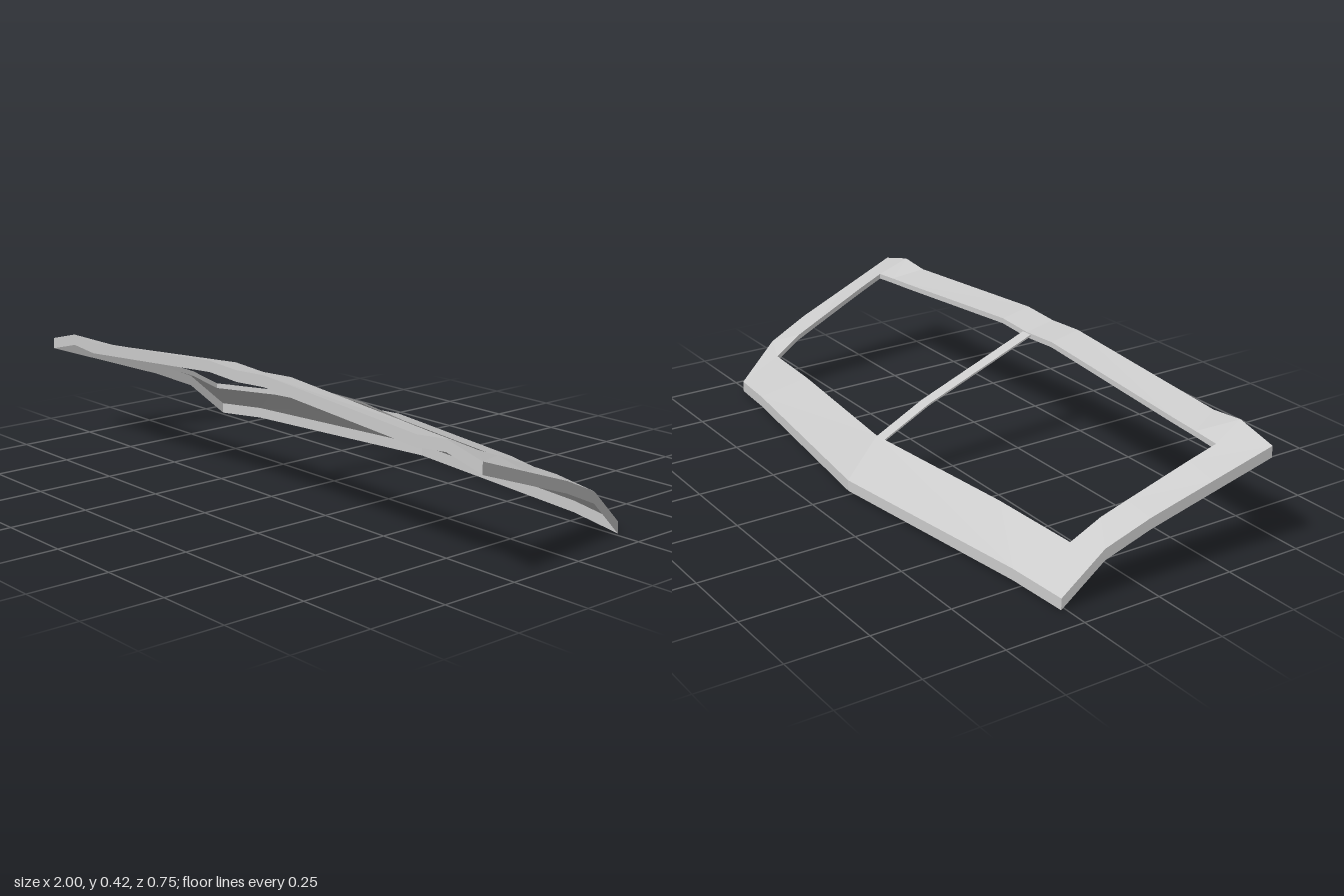
import * as THREE from 'three';

const OUTER_LIP = 0.035;
const INNER_LIP = 0.017;

// Frame stations from front centre round to back centre: outer x,z,y then inner x,z,y (top surface)
const HALF = [
  [0, 0.377, 0.411, 0, 0.277, 0.391],
  [0.13, 0.377, 0.418, 0.13, 0.277, 0.398],
  [0.76, 0.377, 0.372, 0.7, 0.277, 0.352],
  [0.87, 0.377, 0.382, 0.8, 0.277, 0.345],
  [1, 0.377, 0.35, 0.885, 0.277, 0.338],
  [0.975, 0.19, 0.283, 0.874, 0.19, 0.305],
  [0.95, 0, 0.215, 0.85, 0, 0.228],
  [0.932, -0.135, 0.155, 0.84, -0.08, 0.195],
  [0.915, -0.263, 0.037, 0.828, -0.172, 0.14],
  [0.73, -0.288, 0.05, 0.55, -0.209, 0.161],
  [0, -0.377, 0.05, 0, -0.274, 0.172],
];

// Open shell: top surface with a deep lip outside and a shallow lip around the opening
function frameGeometry() {
  const mirrored = HALF.slice(1, -1).reverse()
    .map(([ox, oz, oy, ix, iz, iy]) => [-ox, oz, oy, -ix, iz, iy]);
  const stations = [...HALF, ...mirrored];
  const positions = [];
  for (const [ox, oz, oy, ix, iz, iy] of stations) {
    positions.push(ox, oy - OUTER_LIP, oz, ox, oy, oz, ix, iy, iz, ix, iy - INNER_LIP, iz);
  }
  const index = [];
  const n = stations.length;
  for (let k = 0; k < n; k++) {
    const next = (k + 1) % n;
    for (let j = 0; j < 3; j++) {
      const a = k * 4 + j, b = next * 4 + j, c = b + 1, d = a + 1;
      // Swap the diagonal on the mirrored half to keep both sides alike
      if (k < n / 2) index.push(a, b, c, a, c, d);
      else index.push(a, b, d, b, c, d);
    }
  }
  const indexed = new THREE.BufferGeometry();
  indexed.setAttribute('position', new THREE.Float32BufferAttribute(positions, 3));
  indexed.setIndex(index);
  const geometry = indexed.toNonIndexed();
  geometry.computeVertexNormals();
  return geometry;
}

// Thin bent bar: side profile (z, y) extruded across x
function barGeometry() {
  const path = [[0.277, 0.388], [-0.1, 0.242], [-0.274, 0.154]];
  const lower = path.map(([z, y]) => [z, y - 0.006]).reverse();
  const shape = new THREE.Shape([...path, ...lower].map(([z, y]) => new THREE.Vector2(z, y)));
  const geometry = new THREE.ExtrudeGeometry(shape, { depth: 0.04, bevelEnabled: false });
  geometry.rotateY(-Math.PI / 2);
  geometry.translate(0.02, 0, 0);
  return geometry;
}

export function createModel() {
  const group = new THREE.Group();
  group.name = 'windowFrame';
  const material = new THREE.MeshStandardMaterial({
    color: 0xcccccc, flatShading: true, side: THREE.DoubleSide,
  });

  const frame = new THREE.Mesh(frameGeometry(), material);
  frame.name = 'outerFrame';
  const bar = new THREE.Mesh(barGeometry(), material);
  bar.name = 'centreBar';

  group.add(frame, bar);
  return group;
}
